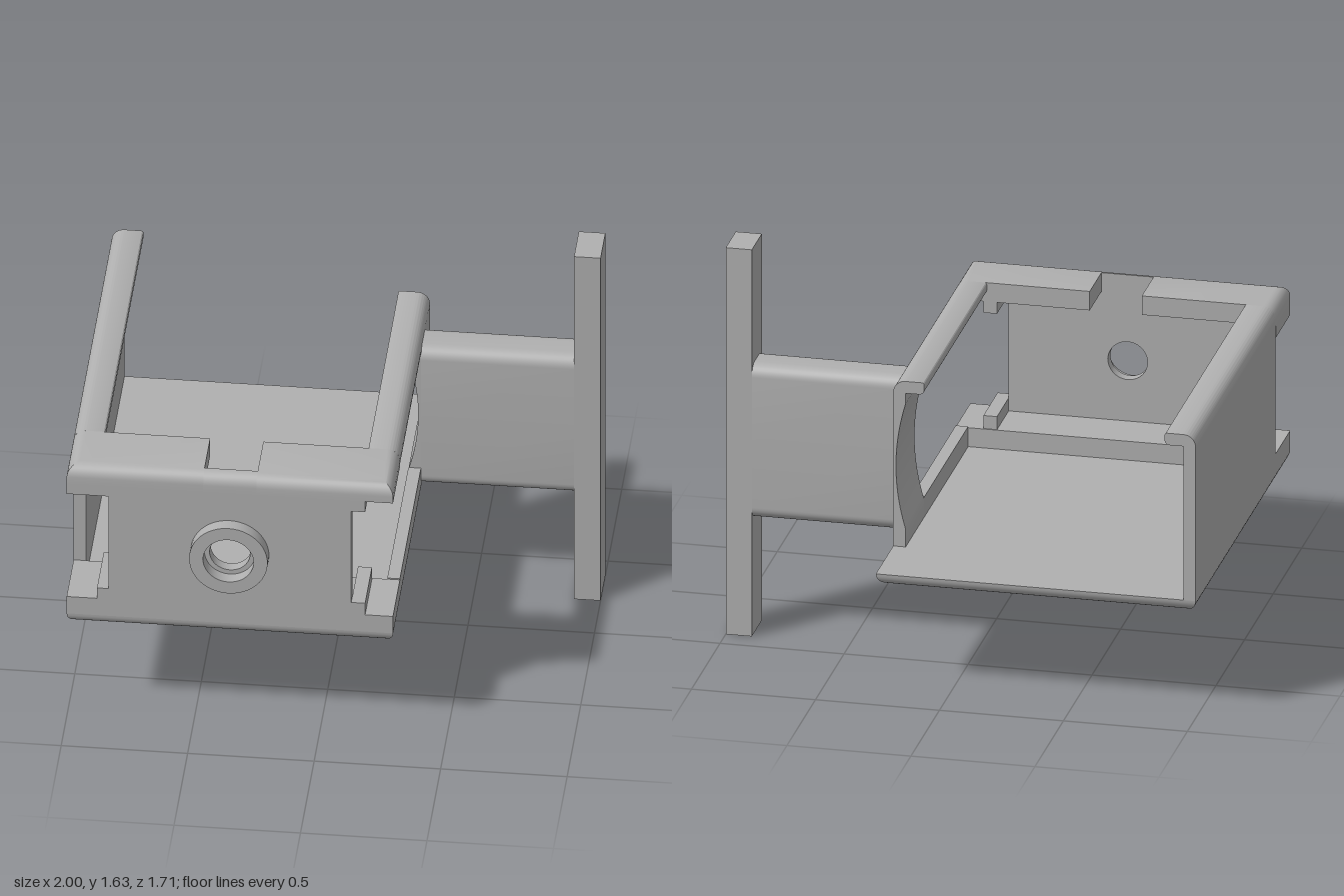
import * as THREE from 'three';
import { toCreasedNormals } from 'three/addons/utils/BufferGeometryUtils.js';

const R = 0.05; // outer edge rounding

export function createModel() {
  const group = new THREE.Group();
  const grey = new THREE.MeshStandardMaterial({ color: 0xb0b0b0 });
  grey.name = 'plain grey';

  const add = (name, geometry) => {
    const mesh = new THREE.Mesh(geometry, grey);
    mesh.name = name;
    group.add(mesh);
    return mesh;
  };

  const box = (name, x0, x1, y0, y1, z0, z1) =>
    add(name, new THREE.BoxGeometry(x1 - x0, y1 - y0, z1 - z0))
      .position.set((x0 + x1) / 2, (y0 + y1) / 2, (z0 + z1) / 2);

  // Outline in the x-y plane, pushed along z
  const extrude = (name, shape, z0, z1) => {
    const g = new THREE.ExtrudeGeometry(shape, { depth: z1 - z0, bevelEnabled: false, curveSegments: 24 });
    g.translate(0, 0, z0);
    return add(name, toCreasedNormals(g, 0.6));
  };

  // Slab whose top or bottom rim is rounded along the chosen sides
  // (l = -x, r = +x, b = -z, f = +z)
  const slab = (name, x0, x1, y0, y1, z0, z1, sides, roundTop) => {
    const on = (s) => (sides.includes(s) ? 1 : 0);
    const levels = [];
    for (let i = 0; i <= 8; i++) {
      const a = (i / 8) * Math.PI / 2;
      const inset = R * (1 - Math.cos(a));
      const rise = R * Math.sin(a);
      if (roundTop) levels.push([y1 - R + rise, inset]);
      else levels.unshift([y0 + R - rise, inset]);
    }
    if (roundTop) levels.unshift([y0, 0]);
    else if (y1 > y0 + R) levels.push([y1, 0]);
    const pos = [];
    const idx = [];
    for (const [y, d] of levels) {
      const a = x0 + d * on('l'), b = x1 - d * on('r');
      const c = z0 + d * on('b'), e = z1 - d * on('f');
      pos.push(a, y, e, b, y, e, b, y, c, a, y, c);
    }
    for (let k = 0; k < levels.length - 1; k++) {
      for (let j = 0; j < 4; j++) {
        const p = k * 4 + j, q = k * 4 + (j + 1) % 4;
        idx.push(p, q, q + 4, p, q + 4, p + 4);
      }
    }
    const t = (levels.length - 1) * 4;
    idx.push(t, t + 1, t + 2, t, t + 2, t + 3, 0, 2, 1, 0, 3, 2);
    const g = new THREE.BufferGeometry();
    g.setAttribute('position', new THREE.Float32BufferAttribute(pos, 3));
    g.setIndex(idx);
    return add(name, toCreasedNormals(g, 0.6));
  };

  // Tray floor, raised front ledge and left wall
  slab('floor', -1, 0.29, 0.445, 0.495, -0.855, 0.8, 'lrfb', false);
  box('frontLedge', -1, 0.29, 0.495, 0.575, 0.545, 0.8);
  box('leftWall', -1, -0.95, 0.495, 1.145, -0.855, 0.545);

  // Right side: low sill, and a short wall hollowed on the inside
  box('rightSill', 0.24, 0.29, 0.495, 0.58, -0.225, 0.545);
  const hollow = new THREE.Shape();
  hollow.moveTo(0.24, 0.495);
  hollow.lineTo(0.29, 0.495);
  hollow.lineTo(0.29, 1.145);
  hollow.lineTo(0.24, 1.145);
  hollow.lineTo(0.24, 1.1);
  hollow.quadraticCurveTo(0.318, 0.835, 0.24, 0.57);
  extrude('rightWall', hollow, -0.55, -0.225);

  // Front wall with a round hole, and the ring around it
  const front = new THREE.Shape();
  front.moveTo(-0.835, 0.575);
  front.lineTo(0.125, 0.575);
  front.lineTo(0.125, 1.115);
  front.lineTo(-0.835, 1.115);
  front.closePath();
  front.holes.push(new THREE.Path().absarc(-0.355, 0.83, 0.08, 0, Math.PI * 2, true));
  extrude('frontWall', front, 0.755, 0.8);
  const ring = new THREE.Shape().absarc(-0.355, 0.83, 0.155, 0, Math.PI * 2, false);
  ring.holes.push(new THREE.Path().absarc(-0.355, 0.83, 0.1, 0, Math.PI * 2, true));
  extrude('frontRing', ring, 0.8, 0.855);

  // Front lip, notched in the middle
  slab('frontLipRightPart', -1, -0.46, 1.115, 1.195, 0.545, 0.8, 'lf', true);
  slab('frontLipMiddle', -0.46, -0.25, 1.115, 1.195, 0.75, 0.8, 'f', true);
  slab('frontLipLeftPart', -0.25, 0.29, 1.115, 1.195, 0.545, 0.8, 'rf', true);

  // Small guide blocks in the two front corner openings
  box('lowerGuide', 0.125, 0.18, 0.575, 0.63, 0.55, 0.8);
  box('upperGuide', 0.125, 0.18, 1.065, 1.115, 0.55, 0.8);
  box('lowerGuide', -0.88, -0.835, 0.575, 0.625, 0.55, 0.8);
  box('upperGuide', -1, -0.835, 1.065, 1.115, 0.55, 0.8);

  // Side lips with rounded edges
  const leftLip = new THREE.Shape();
  leftLip.moveTo(-1, 1.145);
  leftLip.lineTo(-0.895, 1.145);
  leftLip.absarc(-0.895, 1.165, 0.02, -Math.PI / 2, 0, false);
  leftLip.lineTo(-0.875, 1.185);
  leftLip.absarc(-0.885, 1.185, 0.01, 0, Math.PI / 2, false);
  leftLip.lineTo(-0.95, 1.195);
  leftLip.absarc(-0.95, 1.145, R, Math.PI / 2, Math.PI, false);
  extrude('leftLip', leftLip, -0.855, 0.545);

  const rightLip = new THREE.Shape();
  rightLip.moveTo(0.24, 1.11);
  rightLip.lineTo(0.27, 1.11);
  rightLip.absarc(0.27, 1.13, 0.02, -Math.PI / 2, 0, false);
  rightLip.lineTo(0.29, 1.145);
  rightLip.absarc(0.24, 1.145, R, 0, Math.PI / 2, false);
  rightLip.lineTo(0.175, 1.195);
  rightLip.absarc(0.175, 1.185, 0.01, Math.PI / 2, Math.PI, false);
  rightLip.lineTo(0.165, 1.165);
  rightLip.absarc(0.185, 1.165, 0.02, Math.PI, Math.PI * 1.5, false);
  rightLip.lineTo(0.24, 1.145);
  extrude('rightLip', rightLip, -0.55, 0.545);

  // Side arm with rounded top and bottom edges, and the upright bar
  slab('armLower', 0.29, 0.895, 0.495, 0.82, -0.4, -0.225, 'bf', false);
  slab('armUpper', 0.29, 0.895, 0.82, 1.145, -0.4, -0.225, 'bf', true);
  box('uprightBar', 0.895, 1, 0, 1.635, -0.4, -0.225);

  return group;
}
